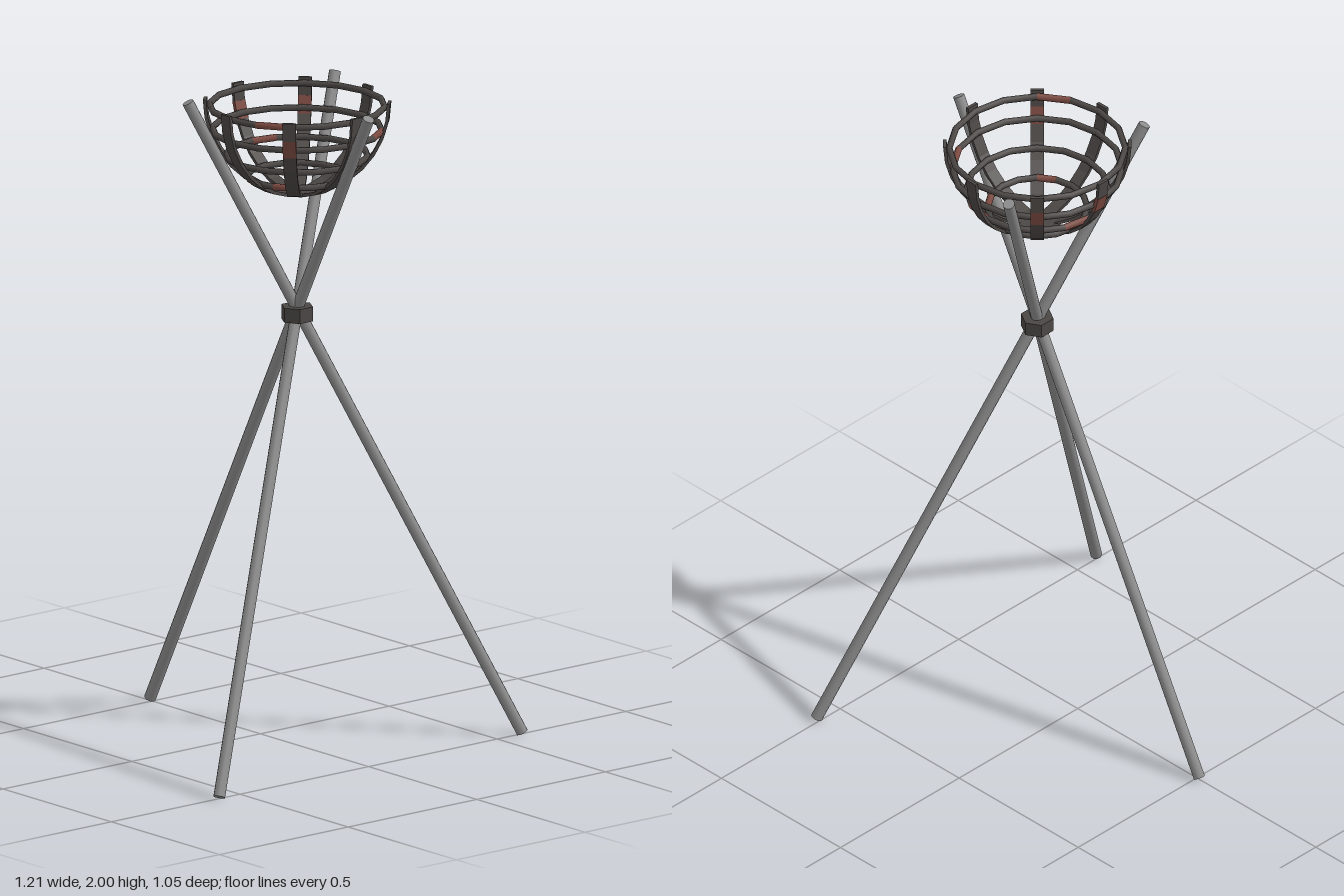
import * as THREE from 'three';

export function createModel() {
  const model = new THREE.Group();
  model.name = 'brazier';
  const mat = (name, color, extra) => Object.assign(new THREE.MeshStandardMaterial({ color }), { name });
  const steel = mat('steel', 0x8c8c8c);
  const iron = mat('dark iron', 0x4b4745);
  const rust = mat('rust', 0x7c4a41);

  // everything is arranged around one upright axis
  const stand = new THREE.Group();
  stand.name = 'stand';
  stand.position.z = 0.17;
  model.add(stand);
  const add = (name, geometry, material, parent) => {
    const mesh = new THREE.Mesh(geometry, material);
    mesh.name = name;
    parent.add(mesh);
    return mesh;
  };

  // three crossed legs
  const up = new THREE.Vector3(0, 1, 0);
  for (let i = 0; i < 3; i++) {
    const a = -Math.PI / 2 + (i * 2 * Math.PI) / 3;
    const at = (r, y) => new THREE.Vector3(Math.cos(a) * r, y, Math.sin(a) * r);
    const foot = at(0.68, 0.008), tip = at(-0.33, 1.992);
    const dir = tip.clone().sub(foot);
    const leg = add('leg', new THREE.CylinderGeometry(0.018, 0.018, dir.length(), 10), steel, stand);
    leg.position.copy(foot).add(tip).multiplyScalar(0.5);
    leg.quaternion.setFromUnitVectors(up, dir.normalize());
  }

  // six-sided collar where the legs cross
  const collarGeo = new THREE.CylinderGeometry(0.05, 0.05, 0.044, 6).toNonIndexed();
  collarGeo.rotateY(Math.PI / 6);
  collarGeo.computeVertexNormals();
  add('collar', collarGeo, iron, stand).position.y = 1.33;

  // basket: hoops inside bent straps
  const basket = new THREE.Group();
  basket.name = 'basket';
  stand.add(basket);

  const step = Math.PI / 8;
  const hoop = (r, tube, segments, arc) =>
    new THREE.TorusGeometry(r, tube, 6, segments, arc).rotateX(Math.PI / 2);
  const hoops = [
    { r: 0.262, y: 1.968, rusty: [6] },
    { r: 0.253, y: 1.895, rusty: [2] },
    { r: 0.211, y: 1.816, rusty: [0, 12] },
    { r: 0.149, y: 1.752, rusty: [2, 6] },
  ];
  for (const { r, y, rusty } of hoops) {
    add('hoop', hoop(r, 0.01, 16, Math.PI * 2), iron, basket).position.y = y;
    for (const k of rusty) {
      const patch = add('rustPatch', hoop(r, 0.0108, 1, step), rust, basket);
      patch.position.y = y;
      patch.rotation.y = -k * step;
    }
  }

  // half-round flat strap between two angles
  const strap = (outer, inner, from, to, segments, width) => {
    const points = [];
    for (let i = 0; i <= segments; i++) points.push([outer, from + ((to - from) * i) / segments]);
    for (let i = segments; i >= 0; i--) points.push([inner, from + ((to - from) * i) / segments]);
    const shape = new THREE.Shape(
      points.map(([s, t]) => new THREE.Vector2(0.28 * s * Math.cos(t), 0.29 * s * Math.sin(t))));
    return new THREE.ExtrudeGeometry(shape, { depth: width, bevelEnabled: false }).translate(0, 0, -width / 2);
  };
  const strapGeo = strap(1, 0.965, Math.PI, Math.PI * 2, 16, 0.04);
  for (let i = 0; i < 4; i++) {
    const s = add('strap', strapGeo, iron, basket);
    s.position.y = 1.984;
    s.rotation.y = (i * Math.PI) / 4;
  }

  // rusted stretches on a few straps
  const pi16 = Math.PI / 16;
  const rustGeo = strap(1.004, 0.961, 30 * pi16, 31 * pi16, 1, 0.0404);
  for (const turn of [1, 2, 5]) {
    const s = add('strapRust', rustGeo, rust, basket);
    s.position.y = 1.984;
    s.rotation.y = (turn * Math.PI) / 4;
  }
  return model;
}
